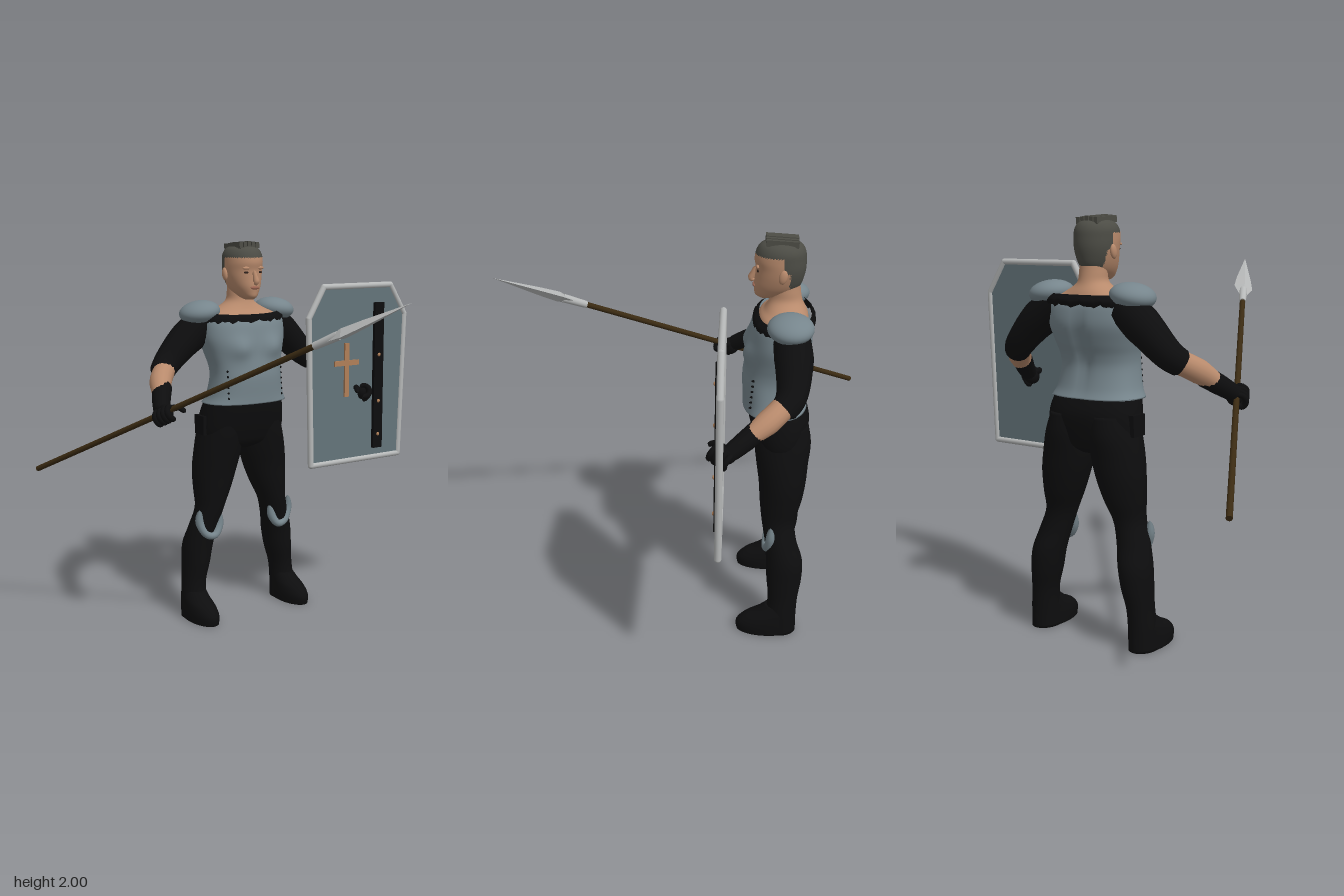
import * as THREE from 'three';

const mat = (name, color) => { const m = new THREE.MeshStandardMaterial({ color }); m.name = name; return m; };
const skin = mat('skin', 0xb88a6c), armour = mat('armour grey', 0x76858c), cloth = mat('black cloth', 0x0d0d0e),
  slate = mat('shield slate', 0x64747a), steel = mat('pale steel', 0xb6b8b8), wood = mat('dark wood', 0x3a2a12),
  copper = mat('copper', 0xb07f58), hair = mat('hair', 0x4c4c45), lip = mat('lips', 0x9c6653), eye = mat('eyes', 0x2e211b);
cloth.side = THREE.DoubleSide;

const V = (x, y, z) => new THREE.Vector3(x, y, z);

function add(parent, name, geo, material, x = 0, y = 0, z = 0) {
  const m = new THREE.Mesh(geo, material);
  m.name = name;
  m.position.set(x, y, z);
  parent.add(m);
  return m;
}

function ball(parent, name, material, p, r, n = 20) {
  const m = add(parent, name, new THREE.SphereGeometry(1, n, Math.ceil(n * 0.7)), material, ...p);
  m.scale.set(...r);
  return m;
}

// Smooth skin through horizontal rings [y, centre x, half width, front z, back z]
function loft(rings, { n = 40, power = 2, steps = 5, caps = true, rule } = {}) {
  const pos = [], idx = [], last = rings.length - 1, rows = last * steps;
  const at = (k, c) => rings[Math.min(last, Math.max(0, k))][c];
  const spline = (i, c) => {
    const k = Math.min(last - 1, Math.floor(i / steps)), t = i / steps - k;
    const a = at(k - 1, c), b = at(k, c), d = at(k + 1, c), e = at(k + 2, c);
    return b + 0.5 * t * (d - a + t * (2 * a - 5 * b + 4 * d - e + t * (3 * (b - d) + e - a)));
  };
  const soft = v => Math.sign(v) * Math.abs(v) ** (2 / power);
  for (let i = 0; i <= rows; i++) {
    const [y, cx, rx, zf, zb] = [0, 1, 2, 3, 4].map(c => spline(i, c));
    for (let j = 0; j < n; j++) {
      const a = j / n * Math.PI * 2;
      const p = V(cx + rx * soft(Math.sin(a)), y, (zf + zb) / 2 + (zf - zb) / 2 * soft(Math.cos(a)));
      if (rule) rule(p, a, i / rows);
      pos.push(p.x, p.y, p.z);
      if (i < rows) {
        const q = i * n + j, r = i * n + (j + 1) % n;
        idx.push(q, r, r + n, q, r + n, q + n);
      }
    }
  }
  if (caps) {
    const c = pos.length / 3, top = rows * n;
    for (const k of [0, last]) pos.push(at(k, 1), at(k, 0), (at(k, 3) + at(k, 4)) / 2);
    for (let j = 0; j < n; j++) {
      const k = (j + 1) % n;
      idx.push(c, k, j, c + 1, top + j, top + k);
    }
  }
  const g = new THREE.BufferGeometry();
  g.setAttribute('position', new THREE.Float32BufferAttribute(pos, 3));
  g.setIndex(idx);
  g.computeVertexNormals();
  return g;
}

// Tube of varying radius with rounded ends
function limb(points, radii, cap = 0.08, sides = 16, segs = 28) {
  const curve = new THREE.CatmullRomCurve3(points);
  const g = new THREE.TubeGeometry(curve, segs, 1, sides), p = g.attributes.position, v = V(0, 0, 0);
  for (let i = 0; i < p.count; i++) {
    const u = Math.floor(i / (sides + 1)) / segs, f = u * (radii.length - 1), k = Math.min(radii.length - 2, Math.floor(f));
    const e = Math.min(1, Math.min(u, 1 - u) / cap);
    const r = THREE.MathUtils.lerp(radii[k], radii[k + 1], f - k) * Math.sqrt(1 - (1 - e) ** 2);
    const c = curve.getPointAt(u);
    v.fromBufferAttribute(p, i).sub(c).multiplyScalar(r).add(c);
    p.setXYZ(i, v.x, v.y, v.z);
  }
  return g;
}

// Splits faces into two material groups by a rule on their centre
function split(g, rule) {
  const p = g.attributes.position, ix = g.index.array, sets = [[], []], c = V(0, 0, 0), v = V(0, 0, 0);
  for (let i = 0; i < ix.length; i += 3) {
    c.set(0, 0, 0);
    for (let k = 0; k < 3; k++) c.addScaledVector(v.fromBufferAttribute(p, ix[i + k]), 1 / 3);
    sets[rule(c) ? 1 : 0].push(ix[i], ix[i + 1], ix[i + 2]);
  }
  g.setIndex([...sets[0], ...sets[1]]);
  g.addGroup(0, sets[0].length, 0);
  g.addGroup(sets[0].length, sets[1].length, 1);
  return g;
}

function buildHead(body) {
  const head = new THREE.Group();
  head.name = 'head';
  body.add(head);
  const skull = loft([[1.7, 0, 0.02, -0.345, -0.4], [1.715, 0, 0.04, -0.323, -0.46], [1.74, 0, 0.062, -0.318, -0.51],
    [1.77, 0, 0.078, -0.316, -0.535], [1.81, 0, 0.091, -0.32, -0.548], [1.85, 0, 0.098, -0.322, -0.555],
    [1.89, 0, 0.1, -0.316, -0.555], [1.93, 0, 0.097, -0.324, -0.55], [1.96, 0, 0.078, -0.345, -0.53],
    [1.978, 0, 0.04, -0.39, -0.49]], { n: 56, steps: 6 });
  add(head, 'skull and hair', split(skull, c => c.y > (c.z > -0.45 ? 1.915 : c.z > -0.48 ? 1.84 : 1.7)), [skin, hair]);
  // Cropped crest in narrow strips
  for (let i = -2; i <= 2; i++) {
    const m = add(head, 'crest strip', new THREE.BoxGeometry(0.02, 0.03, 0.15), hair, i * 0.025, 1.978 - Math.abs(i) * 0.003, -0.44);
    m.rotation.x = -0.06;
  }
  add(head, 'nose', limb([V(0, 1.85, -0.325), V(0, 1.815, -0.311), V(0, 1.79, -0.304), V(0, 1.782, -0.32)], [0.01, 0.012, 0.017, 0.01], 0.2, 12, 14), skin);
  ball(head, 'lips', lip, [0, 1.762, -0.317], [0.026, 0.009, 0.008]);
  for (const s of [-1, 1]) {
    ball(head, 'eye', eye, [s * 0.04, 1.84, -0.333], [0.016, 0.006, 0.005], 14);
    ball(head, 'brow', skin, [s * 0.04, 1.862, -0.331], [0.025, 0.008, 0.008], 14);
    ball(head, 'ear', skin, [s * 0.1, 1.83, -0.447], [0.013, 0.034, 0.02], 14).rotation.x = -0.2;
  }
}

function buildTorso(body) {
  add(body, 'neck and shoulders', loft([[1.57, 0, 0.225, -0.33, -0.58], [1.62, 0, 0.21, -0.345, -0.575], [1.65, 0, 0.14, -0.37, -0.565],
    [1.69, 0, 0.075, -0.39, -0.545], [1.74, 0, 0.064, -0.4, -0.535], [1.8, 0, 0.06, -0.4, -0.53]]), skin);
  // Shaped breastplate with chest, spine and hem relief
  add(body, 'cuirass', loft([[1.165, 0, 0.234, -0.278, -0.59], [1.21, 0, 0.212, -0.277, -0.57], [1.3, 0, 0.196, -0.273, -0.553],
    [1.36, 0, 0.199, -0.28, -0.56], [1.42, 0, 0.215, -0.29, -0.58], [1.5, 0, 0.238, -0.298, -0.6],
    [1.57, 0, 0.24, -0.312, -0.595], [1.615, 0, 0.236, -0.333, -0.58]], {
    power: 2.4, n: 56, rule: (p, a) => {
      const bump = (x, y, w, h) => Math.exp(-(((Math.abs(p.x) - x) / w) ** 2) - ((p.y - y) / h) ** 2);
      if (Math.cos(a) > 0) p.z += 0.028 * bump(0.1, 1.455, 0.06, 0.055);
      else p.z += 0.02 * bump(0, 1.4, 0.03, 0.18);
    },
  }), armour);
  // Ragged collar
  add(body, 'collar', loft([[1.59, 0, 0.243, -0.315, -0.605], [1.615, 0, 0.243, -0.322, -0.61], [1.64, 0, 0.22, -0.345, -0.59]], {
    power: 2.4, n: 90, caps: false, rule: (p, a, u) => { p.y += (1 - u) * 0.009 * Math.sin(a * 23) * Math.cos(a * 7) - 0.015 * Math.max(0, Math.cos(a)) * u; },
  }), cloth);
  add(body, 'hips', loft([[0.905, 0, 0.08, -0.43, -0.53], [0.94, 0, 0.2, -0.365, -0.575], [1, 0, 0.243, -0.337, -0.595],
    [1.1, 0, 0.238, -0.31, -0.605], [1.19, 0, 0.215, -0.295, -0.57]], { power: 2.3 }), cloth);
  add(body, 'pouch', new THREE.BoxGeometry(0.04, 0.1, 0.09), cloth, -0.235, 1.05, -0.47);
  for (const s of [-1, 1]) for (let i = 0; i < 6; i++)
    ball(body, 'side lacing', cloth, [s * 0.165, 1.2 + i * 0.028, -0.318 - i * 0.002], [0.004, 0.006, 0.012], 8);
}

function buildLeg(body, s) {
  const leg = new THREE.Group();
  leg.name = s > 0 ? 'leftLeg' : 'rightLeg';
  body.add(leg);
  const side = r => [r[0], r[1] * s, r[2], r[3], r[4]];
  add(leg, 'trouser and boot', loft([[0, 0.291, 0.068, -0.4, -0.575], [0.1, 0.29, 0.065, -0.42, -0.575], [0.2, 0.283, 0.063, -0.43, -0.58],
    [0.3, 0.268, 0.073, -0.42, -0.595], [0.4, 0.255, 0.08, -0.415, -0.595], [0.5, 0.23, 0.08, -0.405, -0.562],
    [0.6, 0.2, 0.077, -0.387, -0.552], [0.7, 0.178, 0.1, -0.375, -0.58], [0.8, 0.16, 0.12, -0.367, -0.597],
    [0.9, 0.141, 0.127, -0.352, -0.605], [1, 0.127, 0.117, -0.34, -0.614], [1.09, 0.115, 0.1, -0.34, -0.6]].map(side)), cloth);
  add(leg, 'foot', loft([[0, 0.292, 0.072, -0.275, -0.575], [0.045, 0.292, 0.073, -0.272, -0.576], [0.085, 0.292, 0.069, -0.31, -0.574],
    [0.115, 0.291, 0.064, -0.37, -0.57], [0.15, 0.288, 0.055, -0.42, -0.56]].map(side)), cloth);
  // Curved knee guard rim
  const rim = [[0.067, 0.6, -0.43], [0.067, 0.53, -0.43], [0.035, 0.465, -0.416], [-0.012, 0.455, -0.41], [-0.045, 0.5, -0.42], [-0.058, 0.57, -0.427]];
  add(leg, 'knee guard', limb(rim.map(([x, y, z]) => V((0.217 + x) * s, y, z)), [0.016, 0.023, 0.02, 0.02, 0.023, 0.016], 0.15, 12), armour);
}

function buildArm(body, s) {
  const arm = new THREE.Group();
  arm.name = s > 0 ? 'leftArm' : 'rightArm';
  body.add(arm);
  const path = list => list.map(([x, y, z]) => V(x * s, y, z));
  add(arm, 'sleeve', limb(path([[0.18, 1.6, -0.49], [0.32, 1.49, -0.503], [0.43, 1.385, -0.49], [0.49, 1.335, -0.445]]), [0.085, 0.09, 0.075, 0.06]), cloth);
  add(arm, 'forearm', limb(path([[0.44, 1.37, -0.48], [0.52, 1.31, -0.39], [0.575, 1.235, -0.28]]), [0.055, 0.056, 0.036]), skin);
  add(arm, 'gauntlet', limb(path([[0.525, 1.29, -0.365], [0.575, 1.237, -0.285], [0.61, 1.195, -0.22]]), [0.05, 0.047, 0.04], 0.05), cloth);
  ball(arm, 'palm', cloth, [0.6 * s, 1.185, -0.205], [0.036, 0.046, 0.052]);
  // Fingers curled round the grip axis
  const axis = V(0.425 * -s, 0.41, 0.805).normalize(), grip = V(0.612 * s, 1.175, -0.19);
  const u = V(s, 0, 0).addScaledVector(axis, -axis.x * s).normalize(), w = V(0, 0, 0).crossVectors(axis, u).multiplyScalar(s);
  for (let i = 0; i < 4; i++) {
    const pts = [-2, -1, 0, 1, 2].map(k => grip.clone().addScaledVector(axis, (i - 1.2) * 0.026)
      .addScaledVector(u, 0.034 * Math.cos(k)).addScaledVector(w, 0.034 * Math.sin(k)));
    add(arm, 'finger', limb(pts, [0.015, 0.015, 0.012], 0.15, 10, 14), cloth);
  }
  add(arm, 'thumb', limb(path([[0.585, 1.2, -0.21], [0.55, 1.215, -0.16], [0.53, 1.195, -0.125]]), [0.018, 0.016, 0.012], 0.15, 10, 12), cloth);
  ball(arm, 'pauldron', armour, [0.232 * s, 1.637, -0.485], [0.107, 0.06, 0.107], 32).rotation.z = -0.15 * s;
}

function buildShield(root) {
  const shield = new THREE.Group();
  shield.name = 'shield';
  root.add(shield);
  const z = -0.182, pts = [[0.38, 1.76], [0.832, 1.76], [0.934, 1.6], [0.908, 0.815], [0.302, 0.815], [0.284, 1.6]];
  const shape = new THREE.Shape(pts.map(p => new THREE.Vector2(...p)));
  add(shield, 'panel', new THREE.ExtrudeGeometry(shape, { depth: 0.012, bevelEnabled: false }), slate, 0, 0, z - 0.006);
  pts.forEach((p, i) => {
    const a = V(...p, z), b = V(...pts[(i + 1) % pts.length], z);
    rod(shield, 'rim bar', a, b, 0.016, steel);
    ball(shield, 'rim corner', steel, [a.x, a.y, z], [0.016, 0.016, 0.016], 14);
  });
  add(shield, 'strap', new THREE.BoxGeometry(0.062, 0.8, 0.018), cloth, 0.743, 1.268, -0.167);
  for (const y of [1.58, 1.385, 1.13, 0.945]) ball(shield, 'rivet', copper, [0.743, y, -0.158], [0.01, 0.01, 0.008], 12);
  add(shield, 'cross upright', new THREE.BoxGeometry(0.028, 0.29, 0.01), copper, 0.528, 1.315, -0.17);
  add(shield, 'cross bar', new THREE.BoxGeometry(0.165, 0.028, 0.009), copper, 0.528, 1.353, -0.17);
}

const UP = V(0, 1, 0);
function rod(parent, name, a, b, r, material) {
  const d = b.clone().sub(a), m = add(parent, name, new THREE.CylinderGeometry(r, r, d.length(), 14), material);
  m.position.copy(a).addScaledVector(d, 0.5);
  m.quaternion.setFromUnitVectors(UP, d.normalize());
}

function buildSpear(root) {
  const spear = new THREE.Group();
  spear.name = 'spear';
  root.add(spear);
  const butt = V(-0.94, 0.828, -0.905), tip = V(0.02, 1.76, 0.91), d = tip.clone().sub(butt), neck = butt.clone().addScaledVector(d, 0.78);
  rod(spear, 'shaft', butt, neck, 0.014, wood);
  const turn = new THREE.Quaternion().setFromUnitVectors(UP, d.clone().normalize()), len = tip.distanceTo(neck);
  const socket = add(spear, 'socket', new THREE.CylinderGeometry(0.022, 0.018, 0.13, 14), steel);
  socket.position.copy(neck).addScaledVector(d.clone().normalize(), 0.06);
  socket.quaternion.copy(turn);
  // Faceted leaf blade
  const profile = [[0.012, 0.05], [0.05, 0.15], [0.038, 0.26], [0.0, len]].map(p => new THREE.Vector2(...p));
  const blade = new THREE.LatheGeometry(profile, 4).scale(1, 1, 0.5).rotateY(0.8).toNonIndexed();
  blade.computeVertexNormals();
  const m = add(spear, 'blade', blade, steel);
  m.position.copy(neck);
  m.quaternion.copy(turn);
}

export function createModel() {
  const root = new THREE.Group(), body = new THREE.Group();
  root.name = 'guard';
  body.name = 'body';
  body.position.x = 0.04;
  root.add(body);
  buildHead(body);
  buildTorso(body);
  for (const s of [-1, 1]) { buildLeg(body, s); buildArm(body, s); }
  buildShield(root);
  buildSpear(root);
  return root;
}
